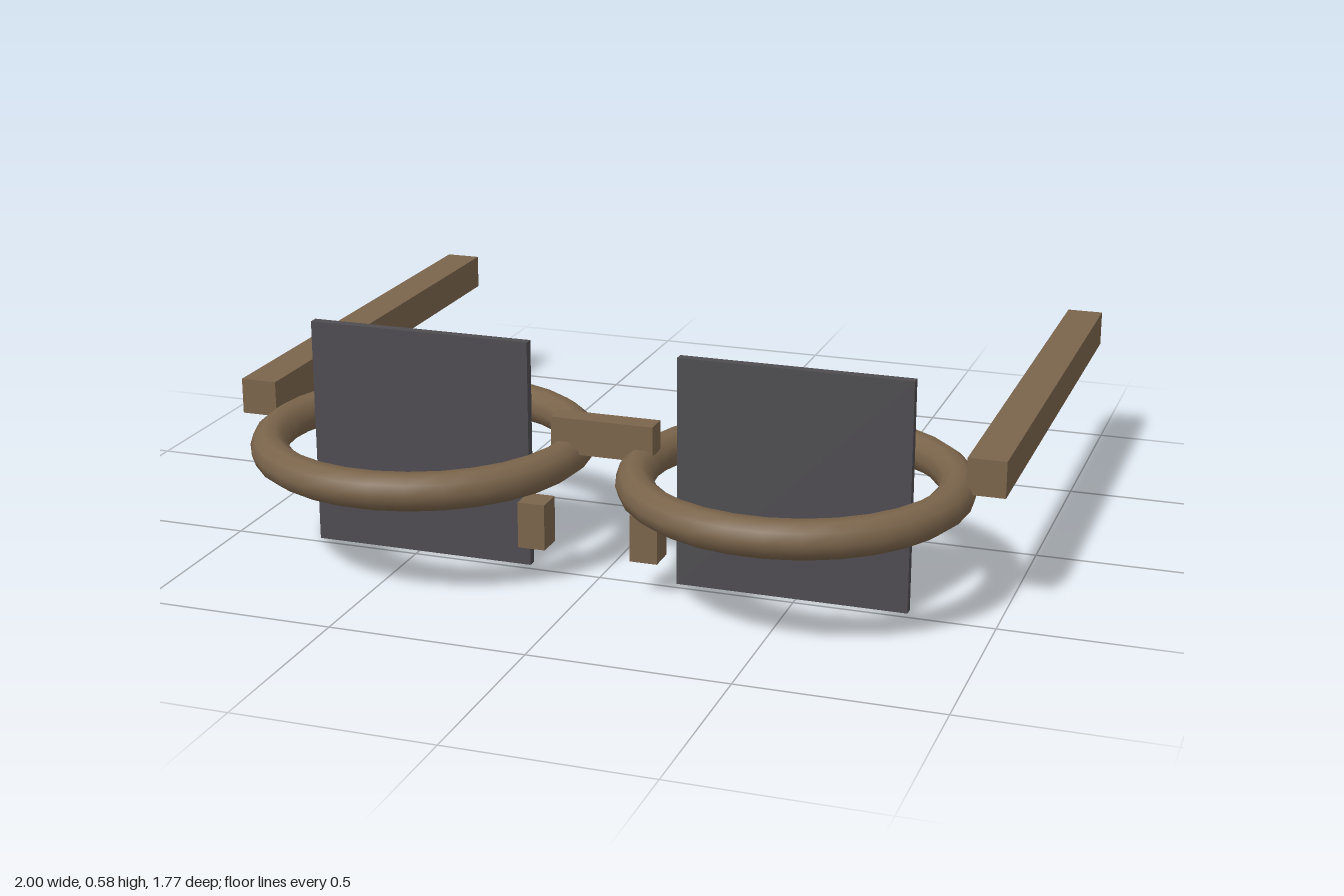
import * as THREE from 'three';

export function createModel() {
  const model = new THREE.Group();
  const brown = new THREE.MeshStandardMaterial({ color: 0x7a644b });
  const dark = new THREE.MeshStandardMaterial({ color: 0x4e4c50 });

  const add = (name, geometry, material, x, y, z) => {
    const mesh = new THREE.Mesh(geometry, material);
    mesh.name = name;
    mesh.position.set(x, y, z);
    model.add(mesh);
    return mesh;
  };

  // Bridge joining the two rims
  add('bridge', new THREE.BoxGeometry(0.265, 0.092, 0.06), brown, 0, 0.356, 0.45);

  // Mirrored parts
  for (const [side, s] of [['left', 1], ['right', -1]]) {
    // Rim ring lying flat
    const rim = add(side + 'Rim', new THREE.TorusGeometry(0.39, 0.0475, 10, 30), brown, s * 0.488, 0.295, 0.449);
    rim.rotation.x = Math.PI / 2;
    // Upright lens panel through the rim
    add(side + 'Lens', new THREE.BoxGeometry(0.585, 0.585, 0.025), dark, s * 0.487, 0.2925, 0.465);
    // Temple arm running back
    add(side + 'Temple', new THREE.BoxGeometry(0.095, 0.092, 1.336), brown, s * 0.9525, 0.356, -0.219);
    // Nose pad
    add(side + 'NosePad', new THREE.BoxGeometry(0.07, 0.118, 0.072), brown, s * 0.146, 0.15, 0.553);
  }
  return model;
}
